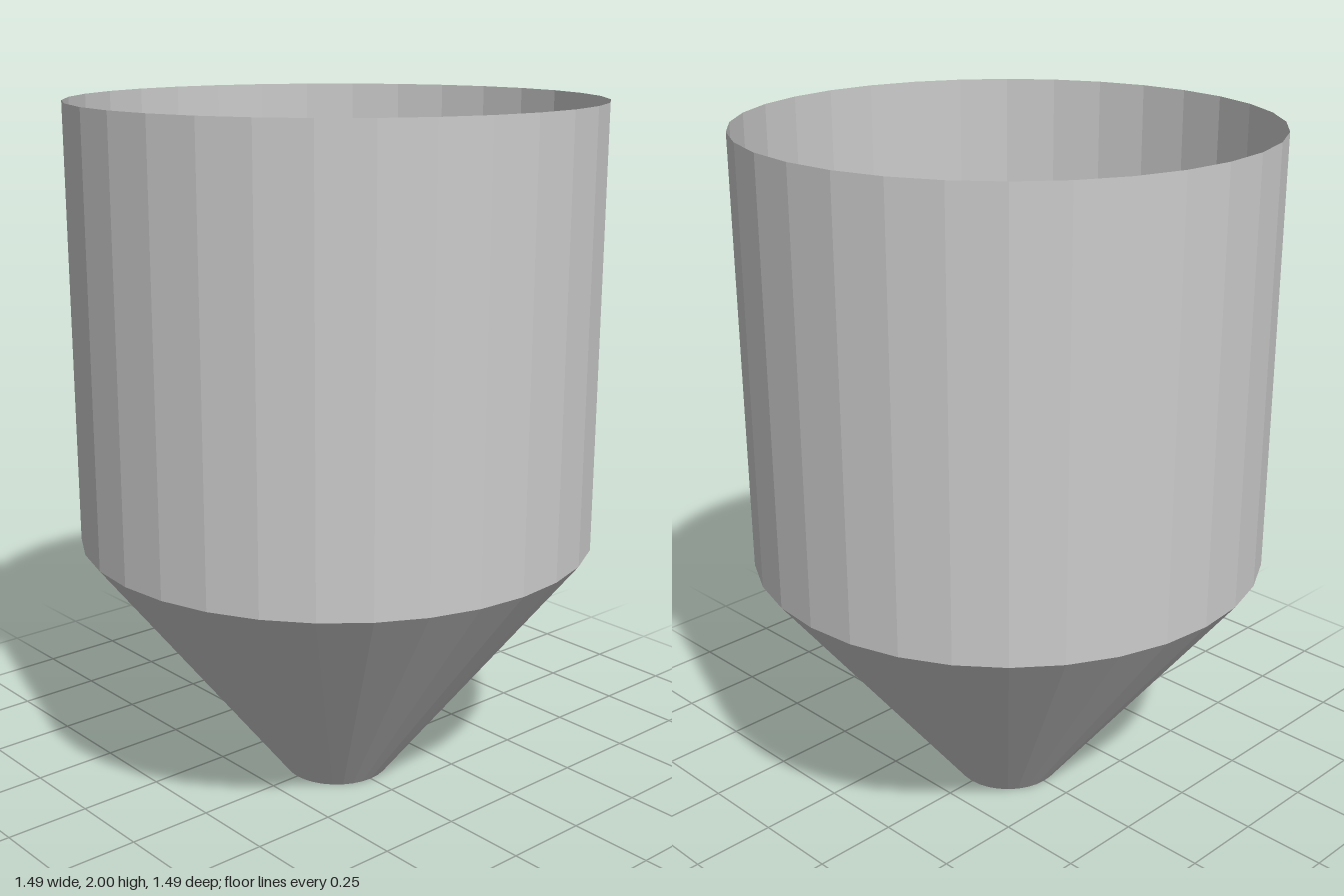
import * as THREE from 'three';

const SIDES = 32;
const RADIUS = 0.745;
const OUTLET_RADIUS = 0.157;
const CONE_HEIGHT = 0.757;
const HEIGHT = 2;

export function createModel() {
  const group = new THREE.Group();
  group.name = 'hopper';

  // Thin sheet walls, visible from inside and outside
  const material = new THREE.MeshStandardMaterial({
    color: 0xcccccc,
    flatShading: true,
    side: THREE.DoubleSide,
  });

  function addPart(name, geometry, y) {
    const mesh = new THREE.Mesh(geometry, material);
    mesh.name = name;
    mesh.position.y = y;
    group.add(mesh);
    return mesh;
  }

  // Straight upper wall, open at the top
  const wallHeight = HEIGHT - CONE_HEIGHT;
  addPart(
    'cylinderWall',
    new THREE.CylinderGeometry(RADIUS, RADIUS, wallHeight, SIDES, 1, true),
    CONE_HEIGHT + wallHeight / 2
  );

  // Funnel tapering to the outlet
  addPart(
    'coneWall',
    new THREE.CylinderGeometry(RADIUS, OUTLET_RADIUS, CONE_HEIGHT, SIDES, 1, true),
    CONE_HEIGHT / 2
  );

  // Flat disc closing the bottom
  const floor = addPart('bottomDisc', new THREE.CircleGeometry(OUTLET_RADIUS, SIDES), 0);
  floor.rotation.x = Math.PI / 2;

  return group;
}
